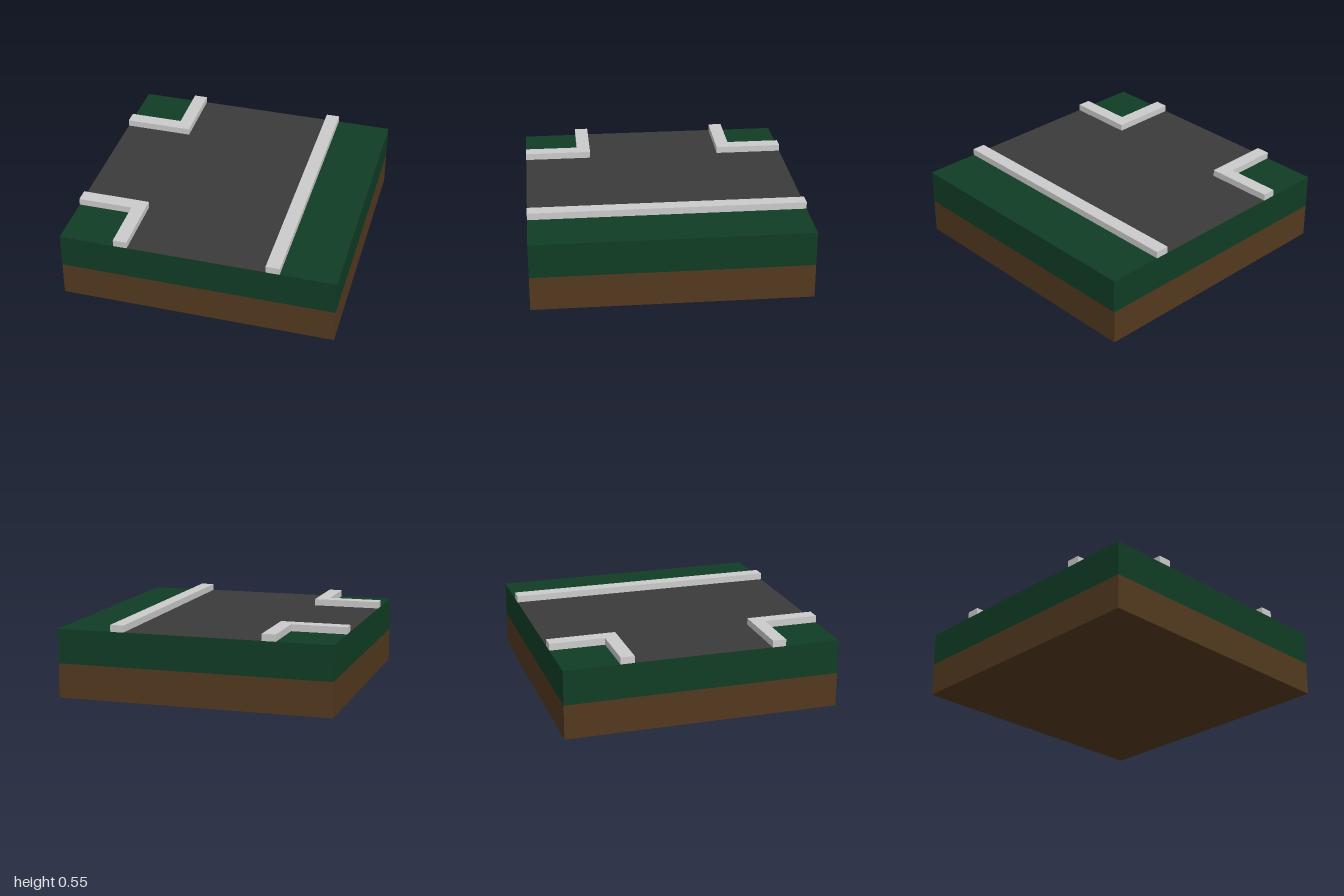
import * as THREE from 'three';

const material = (color) => new THREE.MeshStandardMaterial({ color, flatShading: true });

// Plan outline given as [x, z] points
function plan(points) {
  return new THREE.Shape(points.map(([x, z]) => new THREE.Vector2(x, -z)));
}

function addPart(group, name, geometry, mat, y) {
  const mesh = new THREE.Mesh(geometry, mat);
  mesh.name = name;
  mesh.position.y = y;
  group.add(mesh);
  return mesh;
}

export function createModel() {
  const group = new THREE.Group();
  group.name = 'roadJunctionTile';

  const soil = material(0x53391f);
  const grass = material(0x103d25);
  const asphalt = material(0x3b3b3b);
  const concrete = material(0xcccccc);

  // Ground layers
  addPart(group, 'soil', new THREE.BoxGeometry(2, 0.25, 2), soil, 0.125);
  addPart(group, 'grass', new THREE.BoxGeometry(2, 0.25, 2), grass, 0.375);

  // T-shaped road surface, just proud of the grass
  const road = new THREE.ShapeGeometry(plan([
    [-0.5, 1], [0.5, 1], [0.5, -1], [-0.5, -1],
    [-0.5, -0.5], [-1, -0.5], [-1, 0.5], [-0.5, 0.5],
  ])).rotateX(-Math.PI / 2);
  addPart(group, 'road', road, asphalt, 0.501);

  // Straight kerb along the through road
  const kerb = addPart(group, 'straightKerb', new THREE.BoxGeometry(0.1, 0.05, 2), concrete, 0.525);
  kerb.position.x = 0.55;

  // Mirrored L-shaped kerbs at the corners of the side road
  for (const [name, s] of [['frontCornerKerb', 1], ['backCornerKerb', -1]]) {
    const outline = plan([
      [-1, 0.5 * s], [-0.5, 0.5 * s], [-0.5, s],
      [-0.6, s], [-0.6, 0.6 * s], [-1, 0.6 * s],
    ]);
    const corner = new THREE.ExtrudeGeometry(outline, { depth: 0.05, bevelEnabled: false });
    addPart(group, name, corner.rotateX(-Math.PI / 2), concrete, 0.5);
  }

  return group;
}
